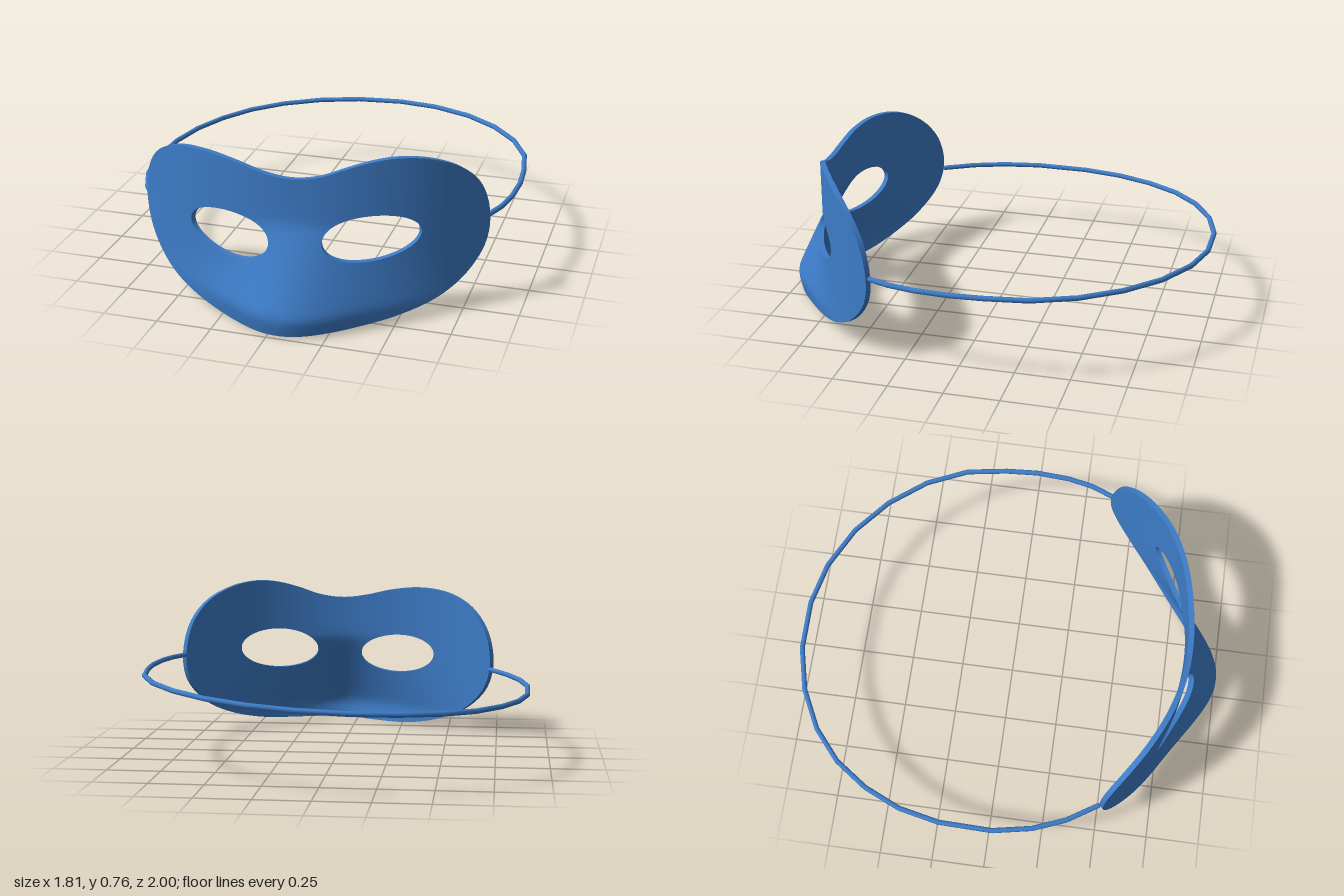
import * as THREE from 'three';
import { mergeGeometries, mergeVertices } from 'three/addons/utils/BufferGeometryUtils.js';

const AXIS_Z = -0.18, RADIUS = 1.01, THICKNESS = 0.975;

// Mask outline, clockwise from the top centre; the right part ends at index SPLIT
const OUTLINE = [
  [0.06, 0.67], [0.18, 0.685], [0.3, 0.727], [0.4, 0.755], [0.5, 0.765], [0.62, 0.743], [0.73, 0.68],
  [0.8, 0.58], [0.833, 0.42], [0.818, 0.28], [0.75, 0.165], [0.65, 0.09], [0.5, 0.042], [0.35, 0.024],
  [0.2, 0.015], [0.06, 0.008],
  [-0.13, 0.002], [-0.3, 0.012], [-0.45, 0.048], [-0.58, 0.11], [-0.68, 0.21], [-0.72, 0.3],
  [-0.73, 0.4], [-0.7, 0.535], [-0.62, 0.645], [-0.5, 0.71], [-0.35, 0.73], [-0.2, 0.715], [-0.06, 0.684],
];
const SPLIT = 15, STEPS = 5, RINGS = 16, CENTRE_STEPS = 30;

const EYES = {
  left: { x: 0.393, y: 0.408, a: 0.195, b: 0.102, tilt: 0.08 },
  right: { x: -0.23, y: 0.38, a: 0.2, b: 0.099, tilt: -0.05 },
};

// Curved face with a nose ridge that grows towards the bottom
const soft = (v) => (v + Math.sqrt(v * v + 0.004)) / 2;
function frontPoint(x, y) {
  const h = soft((0.46 - y) / 0.36) - 1.6 * soft((0.09 - y) / 0.36);
  const width = 0.12 + 0.12 * Math.min(1, Math.max(0, h));
  const nose = 0.178 * h * Math.exp(-(((x - 0.08) / width) ** 2) / 2);
  return new THREE.Vector3(x, y, AXIS_Z + Math.sqrt(RADIUS ** 2 - x * x) + nose);
}
// Inner face: shrink towards the vertical axis of the curve
const backPoint = (p) =>
  new THREE.Vector3(p.x * THICKNESS, p.y, AXIS_Z + (p.z - AXIS_Z) * THICKNESS);

// Skin a list of equally long rows of points
function sheet(rows, flip = false) {
  const n = rows[0].length, index = [];
  for (let j = 0; j < rows.length - 1; j++) {
    for (let i = 0; i < n - 1; i++) {
      const a = j * n + i, b = a + 1, d = a + n, c = d + 1;
      if (flip) index.push(a, c, b, a, d, c);
      else index.push(a, b, c, a, c, d);
    }
  }
  return new THREE.BufferGeometry().setFromPoints(rows.flat()).setIndex(index);
}

function eyePoint(eye, p) {
  const angle = Math.atan2(p.y - eye.y, p.x - eye.x), t = angle - eye.tilt;
  const r = (eye.a * eye.b) / Math.hypot(eye.b * Math.cos(t), eye.a * Math.sin(t));
  return new THREE.Vector2(eye.x + r * Math.cos(angle), eye.y + r * Math.sin(angle));
}

// One half of the mask: rings from the eye hole out to the outline and centre line
function maskHalf(eye, edge) {
  const last = edge[edge.length - 1], first = edge[0];
  const loop = [...edge];
  for (let i = 1; i <= CENTRE_STEPS; i++) loop.push(last.clone().lerp(first, i / CENTRE_STEPS));
  const front = [];
  for (let j = 0; j <= RINGS; j++) {
    front.push(loop.map((p) => {
      const q = eyePoint(eye, p).lerp(p, j / RINGS);
      return frontPoint(q.x, q.y);
    }));
  }
  const back = front.map((row) => row.map(backPoint));
  const rimFront = front[RINGS].slice(0, edge.length), rimBack = back[RINGS].slice(0, edge.length);
  return {
    maskFront: sheet(front),
    maskBack: sheet(back, true),
    maskRim: sheet([rimFront, rimBack]),
    eyeHoleEdges: sheet([front[0], back[0]], true),
  };
}

function buildMask(material) {
  const curve = new THREE.CatmullRomCurve3(
    OUTLINE.map(([x, y]) => new THREE.Vector3(x, y, 0)), true, 'centripetal');
  const total = OUTLINE.length * STEPS;
  const outline = [];
  for (let i = 0; i <= total; i++) {
    const p = curve.getPoint((i % total) / total);
    outline.push(new THREE.Vector2(p.x, p.y));
  }
  const halves = [
    maskHalf(EYES.left, outline.slice(0, SPLIT * STEPS + 1)),
    maskHalf(EYES.right, outline.slice(SPLIT * STEPS)),
  ];
  const mask = new THREE.Group();
  mask.name = 'mask';
  for (const part of Object.keys(halves[0])) {
    const geometry = mergeVertices(mergeGeometries(halves.map((h) => h[part])), 1e-5);
    geometry.computeVertexNormals();
    const mesh = new THREE.Mesh(geometry, material);
    mesh.name = part;
    mask.add(mesh);
  }
  return mask;
}

// Thin cord around the back of the head, in straight segments
function buildStrap(material) {
  const points = [
    [-0.715, 0.495], [-0.8, 0.36], [-0.86, 0.21], [-0.895, 0.03], [-0.89, -0.22], [-0.85, -0.41],
    [-0.775, -0.58], [-0.67, -0.73], [-0.53, -0.85], [-0.35, -0.94], [-0.15, -0.988], [0.08, -0.988],
    [0.28, -0.94], [0.475, -0.84], [0.64, -0.7], [0.77, -0.53], [0.855, -0.34], [0.885, -0.15],
    [0.895, 0], [0.885, 0.16], [0.86, 0.28], [0.822, 0.375],
  ].map(([x, z]) => new THREE.Vector3(x, 0.375 + 0.044 * x, z));
  const curve = new THREE.CatmullRomCurve3(points);
  curve.getUtoTmapping = (u) => u; // one tube ring at each point
  const strap = new THREE.Group();
  strap.name = 'strap';
  const cord = new THREE.Mesh(
    new THREE.TubeGeometry(curve, points.length - 1, 0.012, 10), material);
  cord.name = 'cord';
  strap.add(cord);
  for (const p of [points[0], points[points.length - 1]]) {
    const end = new THREE.Mesh(new THREE.SphereGeometry(0.012, 10, 8), material);
    end.name = 'cordEnd';
    end.position.copy(p);
    strap.add(end);
  }
  return strap;
}

export function createModel() {
  const blue = new THREE.MeshStandardMaterial({ color: 0x3d7cc8 });
  blue.name = 'blue';
  const model = new THREE.Group();
  model.name = 'eyeMask';
  model.add(buildMask(blue), buildStrap(blue));
  return model;
}
